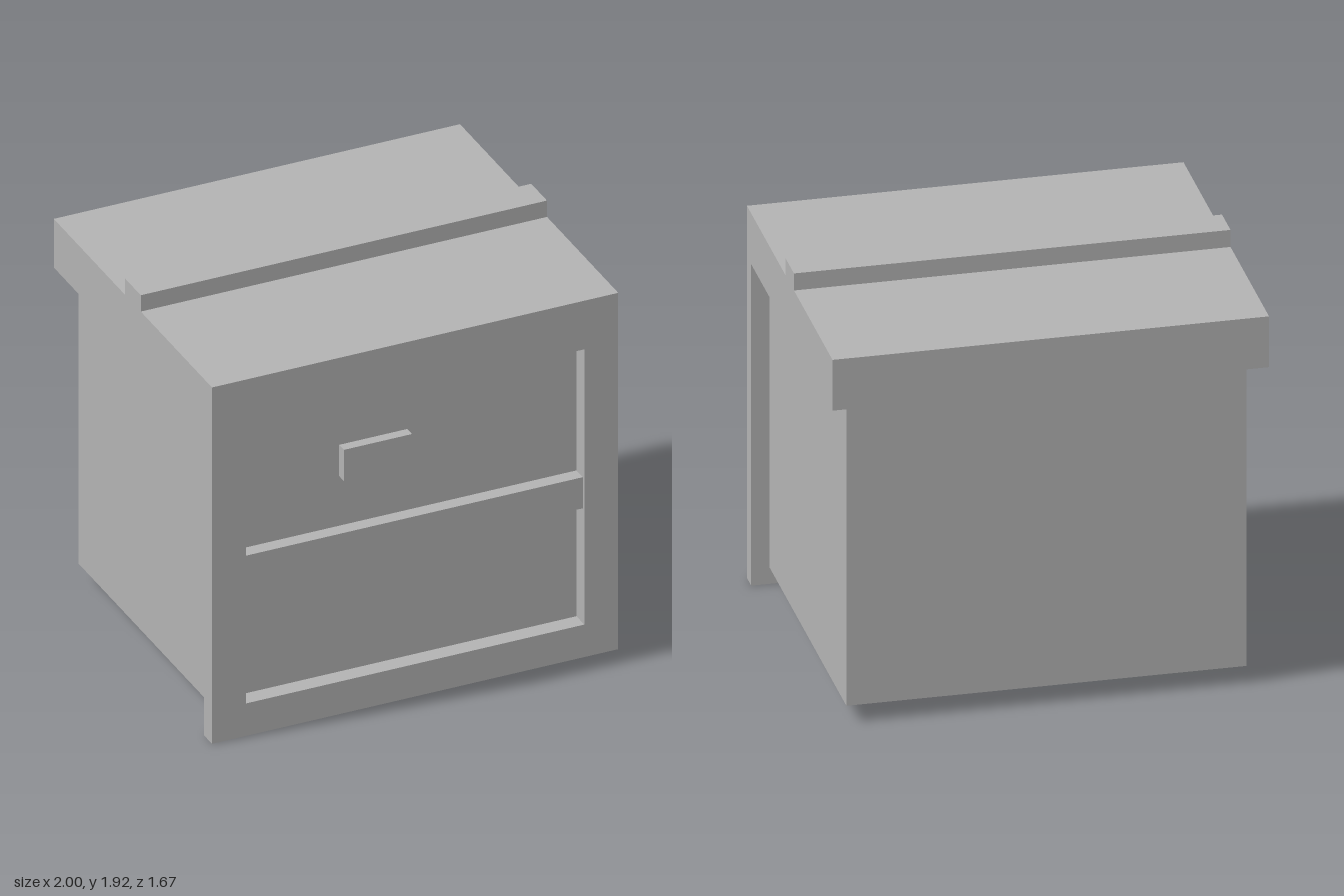
import * as THREE from 'three';

export function createModel() {
  const model = new THREE.Group();
  model.name = 'cabinet';
  const grey = new THREE.MeshStandardMaterial({ color: 0xb2b2b2 });
  grey.name = 'plain grey';

  // Adds a box spanning the given [min, max] ranges
  function box(name, [x0, x1], [y0, y1], [z0, z1]) {
    const mesh = new THREE.Mesh(new THREE.BoxGeometry(x1 - x0, y1 - y0, z1 - z0), grey);
    mesh.position.set((x0 + x1) / 2, (y0 + y1) / 2, (z0 + z1) / 2);
    mesh.name = name;
    model.add(mesh);
  }

  // Main body, whose front face is the recessed panel
  box('body', [-0.917, 0.917], [0.083, 1.583], [-0.75, 0.75]);

  // Overhanging lid and the ridge across it
  box('lid', [-1, 1], [1.583, 1.833], [-0.833, 0.75]);
  box('lidRidge', [-1, 1], [1.833, 1.917], [-0.083, 0.083]);

  // Front frame with a rectangular opening
  const rect = (path, x, y0, y1) =>
    path.moveTo(-x, y0).lineTo(x, y0).lineTo(x, y1).lineTo(-x, y1).closePath();
  const outline = rect(new THREE.Shape(), 1, 0, 1.833);
  outline.holes.push(rect(new THREE.Path(), 0.833, 0.167, 1.583));
  const frame = new THREE.Mesh(
    new THREE.ExtrudeGeometry(outline, { depth: 0.083, bevelEnabled: false }), grey);
  frame.position.z = 0.75;
  frame.name = 'frontFrame';
  model.add(frame);

  // Cross rail, slightly behind the frame face, and the handle
  box('crossRail', [-0.833, 0.833], [0.757, 0.917], [0.75, 0.817]);
  box('handle', [-0.335, 0], [1.172, 1.333], [0.75, 0.8]);

  return model;
}
